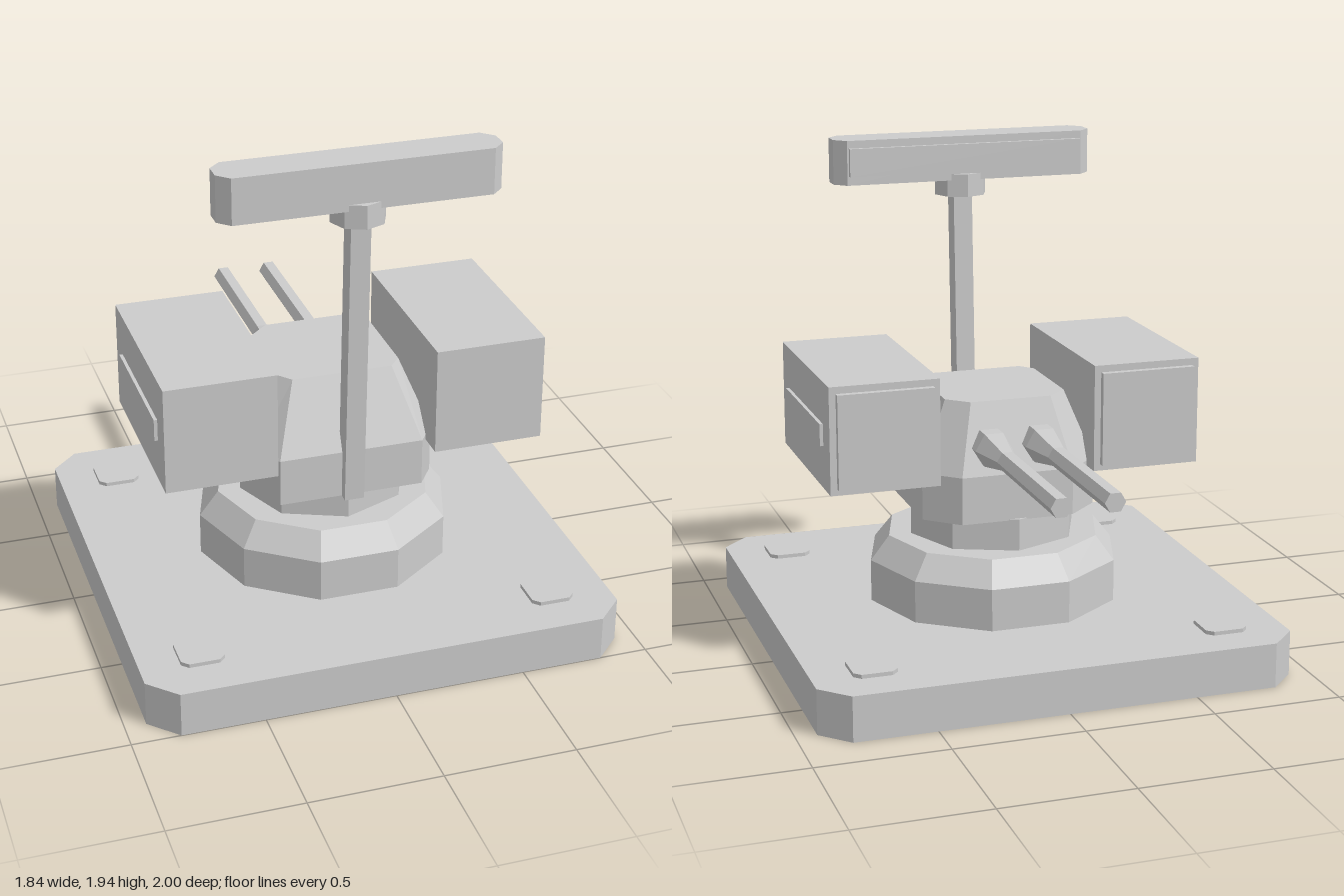
import * as THREE from 'three';

const grey = new THREE.MeshStandardMaterial({ color: 0xcccccc });
grey.name = 'light grey';

// Ring of [x, z] points around the origin; it starts near +z and turns towards +x
function ngon(sides, radius, offset = 0) {
  return Array.from({ length: sides }, (_, i) => {
    const a = offset + (i / sides) * Math.PI * 2;
    return [Math.sin(a) * radius, Math.cos(a) * radius];
  });
}

// Rectangle with cut corners; front (+z) and back corners may differ
function cutRect(hx, z0, z1, fx, fz = fx, bx = fx, bz = fz) {
  return [
    [-hx + fx, z1], [hx - fx, z1], [hx, z1 - fz], [hx, z0 + bz],
    [hx - bx, z0], [-hx + bx, z0], [-hx, z0 + bz], [-hx, z1 - fz],
  ];
}

// Closed faceted solid through levels of [y, ring]
function loft(levels) {
  const pos = [];
  const tri = (...points) => points.forEach((p) => pos.push(...p));
  const rings = levels.map(([y, ring]) => ring.map(([x, z]) => [x, y, z]));
  const n = rings[0].length;
  for (let k = 0; k < rings.length - 1; k++) {
    for (let i = 0; i < n; i++) {
      const j = (i + 1) % n;
      const lo = rings[k], hi = rings[k + 1];
      tri(lo[i], lo[j], hi[j]);
      tri(lo[i], hi[j], hi[i]);
    }
  }
  const bottom = rings[0], top = rings[rings.length - 1];
  for (let i = 1; i < n - 1; i++) {
    tri(top[0], top[i], top[i + 1]);
    tri(bottom[0], bottom[i + 1], bottom[i]);
  }
  const g = new THREE.BufferGeometry();
  g.setAttribute('position', new THREE.Float32BufferAttribute(pos, 3));
  g.computeVertexNormals();
  return g;
}

// Box given by its limits on each axis
function block(x0, x1, y0, y1, z0, z1) {
  return new THREE.BoxGeometry(x1 - x0, y1 - y0, z1 - z0)
    .translate((x0 + x1) / 2, (y0 + y1) / 2, (z0 + z1) / 2);
}

export function createModel() {
  const model = new THREE.Group();
  model.name = 'turret';
  const add = (name, geometry, parent = model) => {
    const mesh = new THREE.Mesh(geometry, grey);
    mesh.name = name;
    parent.add(mesh);
    return mesh;
  };
  const axisZ = 0.085;

  // Ground plate with four corner pads
  const plate = cutRect(0.92, -0.84, 1, 0.105);
  add('basePlate', loft([[0, plate], [0.175, plate]]));
  const pad = cutRect(0.083, -0.083, 0.083, 0.025);
  for (const x of [-0.685, 0.685]) {
    for (const z of [-0.61, 0.765]) {
      add('cornerPad', loft([[0.17, pad], [0.19, pad]])).position.set(x, 0, z);
    }
  }

  // Bevelled ten-sided pedestal and eight-sided neck
  const ringWide = ngon(10, 0.5, Math.PI / 10);
  const ringTop = ngon(10, 0.425, Math.PI / 10);
  add('pedestal', loft([[0.17, ringWide], [0.34, ringWide], [0.435, ringTop]])).position.z = axisZ;
  const neck = ngon(8, 0.335);
  add('neck', loft([[0.43, neck], [0.56, neck]])).position.z = axisZ;

  // Turret body: straight skirt, then tapering to the roof
  const skirt = cutRect(0.347, -0.235, 0.457, 0.067, 0.097, 0.125, 0.115);
  const roof = cutRect(0.24, -0.145, 0.335, 0.045, 0.055, 0.08, 0.075);
  add('turretBody', loft([[0.555, skirt], [0.74, skirt], [1.01, roof]]));

  // Side launcher boxes with a hatch at the back and a strip outside
  for (const s of [-1, 1]) {
    const launcher = new THREE.Group();
    launcher.name = s > 0 ? 'leftLauncher' : 'rightLauncher';
    model.add(launcher);
    const side = (a, b, ...rest) => block(Math.min(s * a, s * b), Math.max(s * a, s * b), ...rest);
    add('launcherBox', side(0.307, 0.733, 0.72, 1.137, -0.235, 0.523), launcher);
    add('launcherHatch', side(0.333, 0.707, 0.745, 1.11, -0.26, -0.23), launcher);
    add('launcherStrip', side(0.73, 0.746, 0.887, 0.972, -0.135, 0.423), launcher);
  }

  // Twin six-sided gun barrels pointing to -z
  const thick = ngon(6, 0.073, Math.PI / 6), thin = ngon(6, 0.04, Math.PI / 6);
  for (const x of [-0.1, 0.1]) {
    const barrel = add('gunBarrel', loft([[0.18, thick], [0.245, thick], [0.405, thin], [1, thin]]));
    barrel.rotation.x = -Math.PI / 2;
    barrel.position.set(x, 0.845, 0);
  }

  // Slightly tilted mast at the front
  const mast = add('mast', block(-0.038, 0.038, 0, 1.18, -0.039, 0.039));
  mast.rotation.x = 0.043;
  mast.position.set(0, 0.553, 0.452);

  // Mast head and radar bar with a panel at the back
  const head = ngon(8, 0.105);
  add('mastHead', loft([[1.7, head], [1.79, head]])).position.z = 0.5;
  const bar = cutRect(0.527, 0.42, 0.58, 0.045);
  add('radarBar', loft([[1.765, bar], [1.94, bar]]));
  add('radarPanel', block(-0.475, 0.475, 1.8, 1.91, 0.403, 0.425));

  return model;
}
